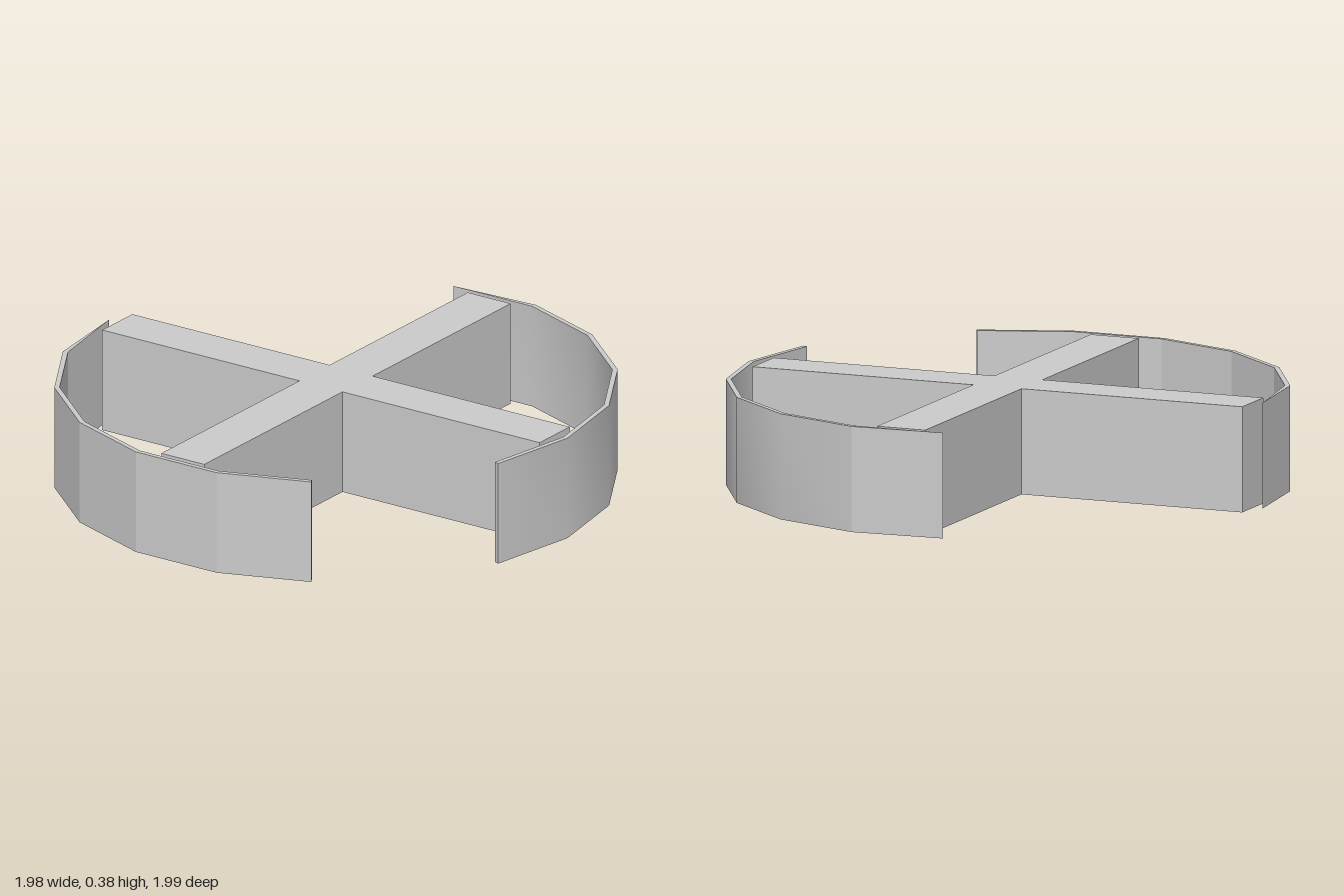
import * as THREE from 'three';
import { toCreasedNormals } from 'three/addons/utils/BufferGeometryUtils.js';

const HEIGHT = 0.383, CENTER_Z = -0.011;
const OUTER = 1.007, INNER = 0.988;
const STEP = Math.PI / 9; // bands follow an 18-sided ring

// Extrudes a plan outline of [x, z] points upward from the ground.
function upright(points) {
  const shape = new THREE.Shape(points.map(([x, z]) => new THREE.Vector2(x, -z)));
  const geometry = new THREE.ExtrudeGeometry(shape, { depth: HEIGHT, bevelEnabled: false });
  return geometry.rotateX(-Math.PI / 2).translate(0, 0, CENTER_Z);
}

// Curved wall from ring corner `first` to `last`, tapering to a sharp edge at `tip`.
function bandGeometry(first, last, tip) {
  const corner = (i, r) => [r * Math.sin(i * STEP), r * Math.cos(i * STEP)];
  const outer = [], inner = [];
  const dir = Math.sign(last - first);
  for (let i = first; i !== last + dir; i += dir) {
    outer.push(corner(i, OUTER));
    inner.unshift(corner(i, INNER));
  }
  return upright([...outer, corner(tip, INNER), ...inner]);
}

export function createModel() {
  const group = new THREE.Group();
  const add = (name, geometry, flatShading) => {
    const material = new THREE.MeshStandardMaterial({
      color: 0xcccccc, flatShading, side: THREE.DoubleSide,
    });
    const mesh = new THREE.Mesh(geometry, material);
    mesh.name = name;
    group.add(mesh);
  };

  // Central cross: four equal arms in one solid piece
  const w = 0.0935, l = 0.951;
  add('cross', upright([
    [w, w], [w, l], [-w, l], [-w, w], [-l, w], [-l, -w],
    [-w, -w], [-w, -l], [w, -l], [w, -w], [l, -w], [l, w],
  ]), true);

  // Front band, sweeping round to the +x side
  add('frontBand', toCreasedNormals(bandGeometry(-1, 4, 5), 0.37), false);

  // Rear band, sweeping from the -x side round to the back
  add('rearBand', bandGeometry(-3, -8, -9), true);

  return group;
}
